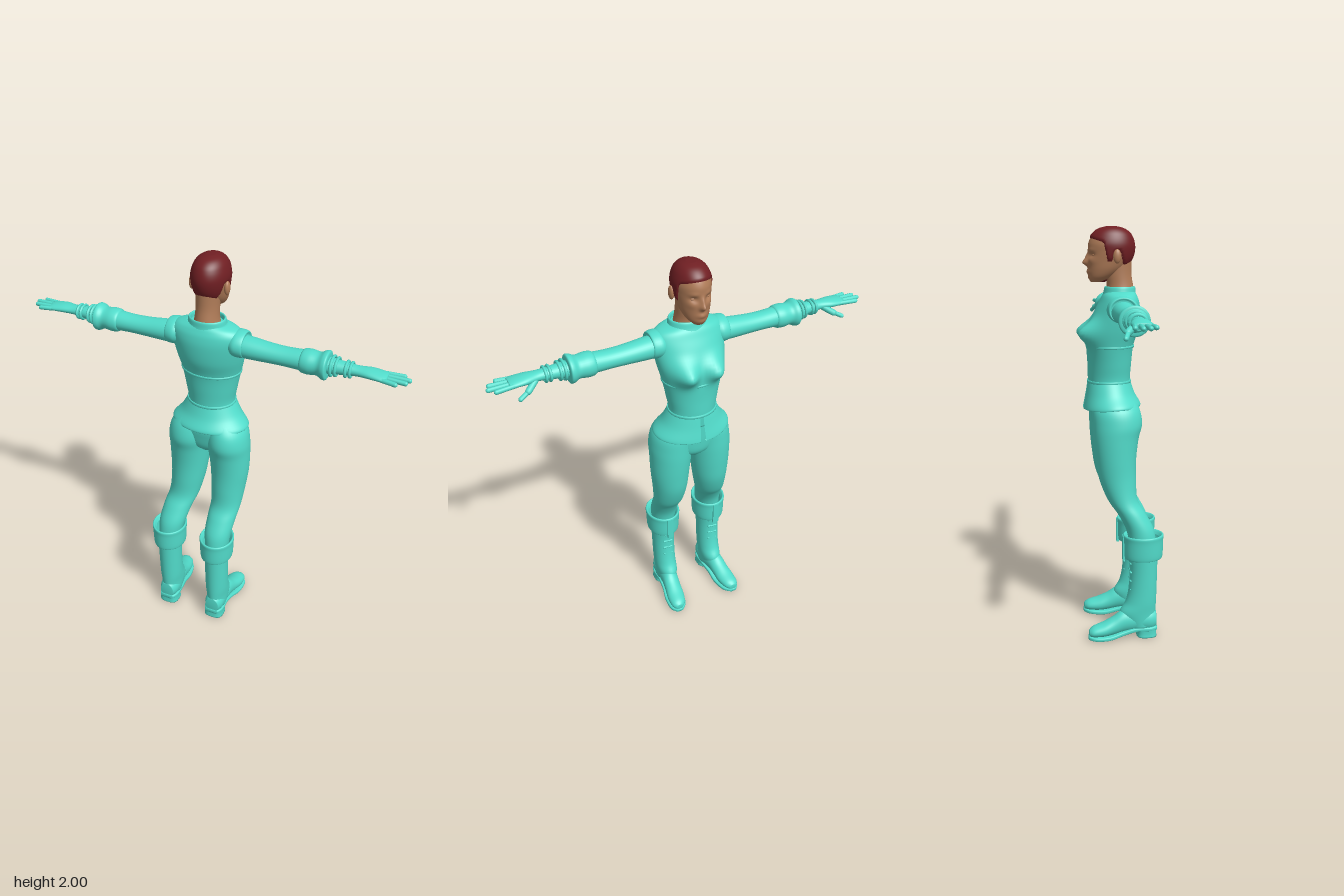
import * as THREE from 'three';

const cloth = new THREE.MeshStandardMaterial({ color: 0x52dccb, side: THREE.DoubleSide });
cloth.name = 'turquoise cloth';
const skin = new THREE.MeshStandardMaterial({ color: 0xb07c58 });
skin.name = 'skin';
const hairMat = new THREE.MeshStandardMaterial({ color: 0x701f23 });
hairMat.name = 'dark red hair';

const catmull = (a, b, c, d, t) =>
  0.5 * (2 * b + (c - a) * t + (2 * a - 5 * b + 4 * c - d) * t * t + (3 * b - a - 3 * c + d) * t * t * t);

// Smooth skin over rounded sections [t, a, b, ra, rb]; angle 0 points to the front.
function loft(axis, stations, { seg = 36, steps = 5, n = 2, gap = 0, caps = true, rule } = {}) {
  const rings = [], last = stations.length - 1;
  for (let i = 0; i < last; i++) {
    for (let k = 0; k < steps; k++) {
      const s = [i - 1, i, i + 1, i + 2].map(j => stations[Math.max(0, Math.min(last, j))]);
      rings.push(s[1].map((_, c) => catmull(s[0][c], s[1][c], s[2][c], s[3][c], k / steps)));
    }
  }
  rings.push(stations[last]);
  if (caps) {
    rings.unshift([...rings[0].slice(0, 3), 0, 0]);
    rings.push([...stations[last].slice(0, 3), 0, 0]);
  }
  const cols = gap ? seg + 1 : seg, pos = [], index = [], v = new THREE.Vector3();
  const power = w => Math.sign(w) * Math.abs(w) ** (2 / n);
  for (const [t, a, b, ra, rb] of rings) {
    for (let j = 0; j < cols; j++) {
      const th = gap + (j / seg) * (Math.PI * 2 - 2 * gap);
      const p = a + ra * power(Math.sin(th)), q = b - rb * power(Math.cos(th));
      if (axis === 'y') v.set(p, t, q);
      else if (axis === 'x') v.set(t, p, q);
      else v.set(p, q, t);
      if (rule) rule(v);
      pos.push(v.x, v.y, v.z);
    }
  }
  for (let i = 0; i < rings.length - 1; i++) {
    for (let j = 0; j < seg; j++) {
      const a = i * cols + j, b = i * cols + (j + 1) % cols, c = a + cols, d = b + cols;
      if (axis === 'y') index.push(a, c, b, b, c, d);
      else index.push(a, b, c, b, d, c);
    }
  }
  const g = new THREE.BufferGeometry();
  g.setAttribute('position', new THREE.Float32BufferAttribute(pos, 3));
  g.setIndex(index);
  g.computeVertexNormals();
  return g;
}

// Rounded rod between two points
function rod(p, q, r) {
  const a = new THREE.Vector3(...p), b = new THREE.Vector3(...q), d = b.clone().sub(a);
  const g = new THREE.CapsuleGeometry(r, d.length(), 4, 10);
  g.applyQuaternion(new THREE.Quaternion().setFromUnitVectors(new THREE.Vector3(0, 1, 0), d.normalize()));
  const m = a.add(b).multiplyScalar(0.5);
  return g.translate(m.x, m.y, m.z);
}

const ball = (x, y, z, rx, ry, rz) => new THREE.SphereGeometry(1, 24, 16).scale(rx, ry, rz).translate(x, y, z);

// Copy flipped in x, with corner order restored
function mirrored(geo) {
  const g = geo.clone().scale(-1, 1, 1), ix = g.index.array;
  for (let i = 0; i < ix.length; i += 3) [ix[i], ix[i + 1]] = [ix[i + 1], ix[i]];
  g.computeVertexNormals();
  return g;
}

// Push front vertices along z by soft bumps [x, y, sizeX, sizeY, amount], mirrored in x
const bumpRule = (bumps, front) => v => {
  if (v.z > front) return;
  let dz = 0;
  for (const [x, y, sx, sy, amount] of bumps) {
    dz += amount * Math.exp(-(((Math.abs(v.x) - x) / sx) ** 2) - ((v.y - y) / sy) ** 2);
  }
  v.z += dz;
};

const headStations = [
  [1.742, 0, -0.108, 0.026, 0.026], [1.765, 0, -0.088, 0.05, 0.056], [1.80, 0, -0.065, 0.066, 0.083],
  [1.84, 0, -0.048, 0.074, 0.102], [1.88, 0, -0.039, 0.08, 0.108], [1.92, 0, -0.038, 0.081, 0.108],
  [1.96, 0, -0.036, 0.068, 0.091], [1.985, 0, -0.036, 0.044, 0.058], [1.996, 0, -0.036, 0.015, 0.02],
];
const hairline = [[-0.2, 1.955], [-0.15, 1.95], [-0.08, 1.925], [-0.062, 1.838], [-0.04, 1.838],
  [-0.03, 1.885], [0, 1.885], [0.015, 1.815], [0.2, 1.815]];

// Hair stands proud above the hairline and sinks under the skin below it
function hairRule(v) {
  const i = hairline.findIndex(p => p[0] > v.z), [z0, h0] = hairline[i - 1], [z1, h1] = hairline[i];
  const h = h0 + (h1 - h0) * (v.z - z0) / (z1 - z0);
  const k = THREE.MathUtils.clamp((v.y - h) * 0.5, -0.012, 0.006);
  const r = Math.hypot(v.x, v.z + 0.037) || 1;
  v.x += v.x / r * k;
  v.z += (v.z + 0.037) / r * k;
  if (v.y > 1.95) v.y += 0.004 * Math.min(1, (v.y - 1.95) / 0.03);
}

export function createModel() {
  const model = new THREE.Group();
  const add = (name, geo, mat = cloth, parent = model) => {
    const m = new THREE.Mesh(geo, mat);
    m.name = name;
    parent.add(m);
    return m;
  };
  const pair = (name, geo, mat) => { add(name + 'Left', geo, mat); add(name + 'Right', mirrored(geo), mat); };

  // Head with nose, lips, chin, brows and eye sockets
  add('head', loft('y', headStations, { seg: 96, steps: 7, rule: bumpRule([
    [0, 1.832, 0.013, 0.014, -0.021], [0, 1.855, 0.010, 0.022, -0.012], [0, 1.79, 0.022, 0.012, -0.008],
    [0, 1.76, 0.022, 0.012, -0.004], [0.033, 1.867, 0.017, 0.012, 0.011], [0.035, 1.89, 0.02, 0.01, -0.004],
    [0.045, 1.84, 0.018, 0.016, -0.004]], -0.06) }), skin);
  add('hair', loft('y', headStations, { seg: 96, steps: 7, rule: hairRule }), hairMat);
  add('neck', loft('y', [[1.66, 0, 0.005, 0.07, 0.075], [1.72, 0, 0.005, 0.056, 0.064],
    [1.78, 0, -0.003, 0.053, 0.063], [1.86, 0, -0.005, 0.055, 0.066]]), skin);
  pair('ear', ball(0.085, 1.862, -0.018, 0.013, 0.033, 0.019).rotateY(0), skin);
  pair('eye', ball(0.032, 1.867, -0.121, 0.014, 0.007, 0.009), skin);

  // Fitted jacket with shaped bust
  add('jacket', loft('y', [
    [1.20, 0, -0.045, 0.13, 0.1], [1.27, 0, -0.05, 0.115, 0.102], [1.35, 0, -0.048, 0.127, 0.106],
    [1.44, 0, -0.045, 0.145, 0.113], [1.52, 0, -0.03, 0.163, 0.122], [1.60, 0, -0.01, 0.175, 0.11],
    [1.65, 0, 0, 0.175, 0.095], [1.68, 0, 0.002, 0.15, 0.082], [1.698, 0, 0.004, 0.095, 0.07]],
  { seg: 72, steps: 6, rule: bumpRule([[0.075, 1.505, 0.05, 0.05, -0.06]], -0.04) }));
  add('collar', loft('y', [[1.66, 0, 0, 0.11, 0.088], [1.69, 0, 0.002, 0.094, 0.078], [1.718, 0, 0.004, 0.087, 0.073],
    [1.718, 0, 0.004, 0.078, 0.065], [1.69, 0, 0.004, 0.075, 0.062]], { caps: false }));
  const band = (name, y, cz, rx, rz, h) => add(name, loft('y', [[y - h, 0, cz, rx - 0.006, rz - 0.006],
    [y - h, 0, cz, rx, rz], [y + h, 0, cz, rx, rz], [y + h, 0, cz, rx - 0.006, rz - 0.006]], { steps: 2, seg: 48 }));
  band('underbustSeam', 1.44, -0.045, 0.148, 0.117, 0.005);
  band('waistSeam', 1.268, -0.05, 0.12, 0.107, 0.006);

  // Flared jacket skirt, split at the front
  add('jacketSkirt', loft('y', [[1.155, 0, -0.037, 0.182, 0.132], [1.15, 0, -0.037, 0.192, 0.14],
    [1.165, 0, -0.037, 0.188, 0.138], [1.21, 0, -0.045, 0.15, 0.12], [1.27, 0, -0.05, 0.117, 0.104]],
  { seg: 60, gap: 0.07, caps: false, rule: v => { if (v.y < 1.25) v.y -= 0.1 * Math.max(0, -v.z - 0.03) * (1.25 - v.y) / 0.1; } }));

  // Sleeves, gauntlets and hands
  const sleeveEdge = loft('x', [[0.12, 1.62, 0, 0.05, 0.06], [0.15, 1.62, 0, 0.062, 0.075],
    [0.188, 1.618, 0, 0.06, 0.068], [0.186, 1.615, 0, 0.05, 0.055]]);
  pair('shoulderCap', sleeveEdge);
  pair('sleeve', loft('x', [[0.13, 1.61, 0, 0.05, 0.055], [0.2, 1.607, 0, 0.051, 0.056], [0.3, 1.603, 0, 0.045, 0.051],
    [0.38, 1.602, 0, 0.043, 0.049], [0.46, 1.603, 0, 0.046, 0.05], [0.5, 1.603, 0, 0.045, 0.048]]));
  pair('gauntletCuff', loft('x', [[0.45, 1.602, 0, 0.043, 0.047], [0.46, 1.602, 0, 0.053, 0.056],
    [0.49, 1.602, 0, 0.056, 0.06], [0.53, 1.602, 0, 0.052, 0.056], [0.555, 1.602, 0, 0.064, 0.066],
    [0.572, 1.602, 0, 0.064, 0.066], [0.576, 1.602, 0, 0.045, 0.045]]));
  pair('glove', loft('x', [[0.54, 1.604, 0, 0.042, 0.044], [0.6, 1.605, 0, 0.034, 0.038], [0.67, 1.607, 0, 0.026, 0.031],
    [0.71, 1.608, 0, 0.022, 0.031], [0.76, 1.609, -0.002, 0.021, 0.041], [0.81, 1.607, 0, 0.017, 0.044],
    [0.835, 1.606, 0, 0.012, 0.041]]));
  for (const [x, r] of [[0.592, 0.046], [0.612, 0.042], [0.655, 0.036], [0.675, 0.035]]) {
    pair('gloveRing', new THREE.TorusGeometry(r - 0.004, 0.007, 8, 28).rotateY(Math.PI / 2)
      .scale(1, 1, 1.12).translate(x, 1.606, 0));
  }
  const fingers = [[-0.033, -0.042, 0.895], [-0.012, -0.014, 0.922], [0.011, 0.016, 0.912], [0.032, 0.043, 0.875]];
  for (const [z0, z1, tip] of fingers) pair('finger', rod([0.81, 1.606, z0], [tip, 1.604, z1], 0.0105));
  pair('thumb', rod([0.725, 1.598, -0.022], [0.765, 1.575, -0.052], 0.015));
  pair('thumbTip', rod([0.765, 1.575, -0.052], [0.805, 1.555, -0.065], 0.0105));

  // Hips
  add('hips', loft('y', [[1.0, 0, -0.035, 0.03, 0.06], [1.04, 0, -0.032, 0.13, 0.095], [1.1, 0, -0.03, 0.185, 0.108],
    [1.16, 0, -0.03, 0.178, 0.112], [1.23, 0, -0.045, 0.13, 0.1]], { seg: 48 }));

  // Legs and boots, standing slightly towards -x
  for (const s of [1, -1]) {
    const leg = new THREE.Group();
    leg.name = s > 0 ? 'leftLeg' : 'rightLeg';
    model.add(leg);
    const part = (name, geo) => add(name, geo, cloth, leg);
    const bx = s * 0.136 - 0.038;
    part('trouserLeg', loft('y', [
      [0.46, bx, 0.1, 0.058, 0.065], [0.55, s * 0.13 - 0.033, 0.086, 0.068, 0.068],
      [0.63, s * 0.125 - 0.024, 0.046, 0.073, 0.068], [0.7, s * 0.118 - 0.012, 0.003, 0.078, 0.073],
      [0.8, s * 0.112 - 0.004, -0.02, 0.087, 0.09], [0.9, s * 0.11, -0.028, 0.096, 0.099],
      [1.0, s * 0.106, -0.027, 0.102, 0.11], [1.07, s * 0.102, -0.02, 0.104, 0.12],
      [1.14, s * 0.094, -0.025, 0.095, 0.115], [1.2, s * 0.07, -0.035, 0.07, 0.095]], { seg: 44 }));
    part('bootShaft', loft('y', [[0.05, bx, 0.092, 0.048, 0.068], [0.12, bx, 0.073, 0.054, 0.09],
      [0.18, bx, 0.089, 0.057, 0.077], [0.25, bx, 0.098, 0.058, 0.07], [0.35, bx, 0.102, 0.06, 0.068],
      [0.46, bx, 0.098, 0.065, 0.074]]));
    part('bootCuff', loft('y', [[0.44, bx, 0.1, 0.066, 0.076], [0.412, bx, 0.1, 0.077, 0.09], [0.43, bx, 0.1, 0.083, 0.096],
      [0.5, bx, 0.1, 0.086, 0.098], [0.527, bx, 0.1, 0.088, 0.1], [0.532, bx, 0.1, 0.08, 0.092],
      [0.515, bx, 0.1, 0.068, 0.078]], { caps: false }));
    part('cuffTab', new THREE.BoxGeometry(0.032, 0.125, 0.012).translate(bx, 0.465, 0.003));
    for (let i = 0; i < 4; i++) {
      const y = 0.25 + i * 0.045;
      part('bootLace', rod([bx - 0.022, y, 0.037], [bx + 0.022, y + 0.006, 0.037], 0.006));
    }

    // Foot, sole and heel, with toes turned out
    const splay = v => { v.x += s * 0.13 * (0.06 - Math.min(v.z, 0.06)); };
    part('foot', loft('z', [[-0.172, bx, 0.034, 0.018, 0.016], [-0.15, bx, 0.04, 0.038, 0.026],
      [-0.1, bx, 0.047, 0.047, 0.036], [-0.05, bx, 0.062, 0.045, 0.046], [0, bx, 0.082, 0.045, 0.058],
      [0.06, bx, 0.085, 0.049, 0.06], [0.13, bx, 0.085, 0.05, 0.06], [0.165, bx, 0.085, 0.036, 0.045]],
    { rule: v => { v.y = Math.max(v.y, 0.018); splay(v); } }));
    part('sole', loft('z', [[-0.175, bx, 0.013, 0.018, 0.009], [-0.14, bx, 0.011, 0.045, 0.011],
      [-0.07, bx, 0.012, 0.053, 0.012], [0, bx, 0.028, 0.047, 0.012], [0.06, bx, 0.042, 0.05, 0.012],
      [0.13, bx, 0.044, 0.052, 0.012], [0.168, bx, 0.044, 0.036, 0.012]], { n: 4, rule: splay }));
    part('heel', loft('y', [[0, bx, 0.118, 0.052, 0.05], [0.02, bx, 0.118, 0.05, 0.049], [0.045, bx, 0.116, 0.051, 0.051]],
      { n: 3, steps: 3 }));
  }
  return model;
}
